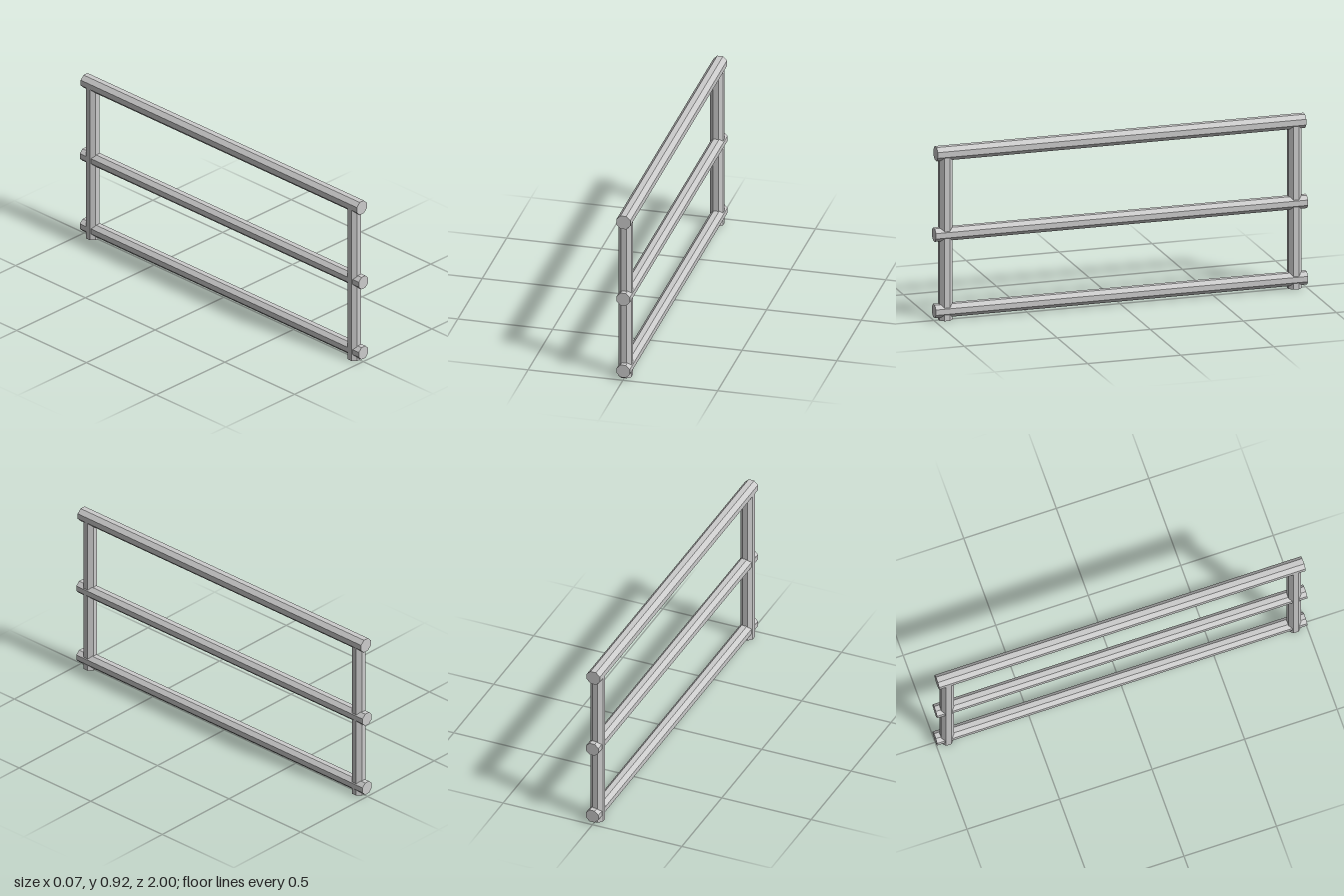
import * as THREE from 'three';

const material = new THREE.MeshStandardMaterial({ color: 0xcccccc, flatShading: true });

// Eight-sided bar along y, turned so flat faces point along the axes.
function octagonBar(name, apothem, length) {
  const radius = apothem / Math.cos(Math.PI / 8);
  const geometry = new THREE.CylinderGeometry(radius, radius, length, 8).rotateY(Math.PI / 8);
  const mesh = new THREE.Mesh(geometry, material);
  mesh.name = name;
  return mesh;
}

export function createModel() {
  const group = new THREE.Group();
  group.name = 'railing';

  // Horizontal rails running front to back
  const rails = [
    ['topRail', 0.0365, 1.98, 0, 0.886],
    ['middleRail', 0.0345, 2, 0.002, 0.457],
    ['bottomRail', 0.0345, 2, 0.002, 0.051],
  ];
  for (const [name, apothem, length, x, y] of rails) {
    const rail = octagonBar(name, apothem, length);
    rail.rotation.x = Math.PI / 2;
    rail.position.set(x, y, 0);
    group.add(rail);
  }

  // Upright posts, ending inside the top rail
  const postHeight = 0.875;
  for (const [name, z] of [['frontPost', 0.938], ['backPost', -0.938]]) {
    const post = octagonBar(name, 0.0345, postHeight);
    post.position.set(-0.002, postHeight / 2, z);
    group.add(post);
  }

  return group;
}
